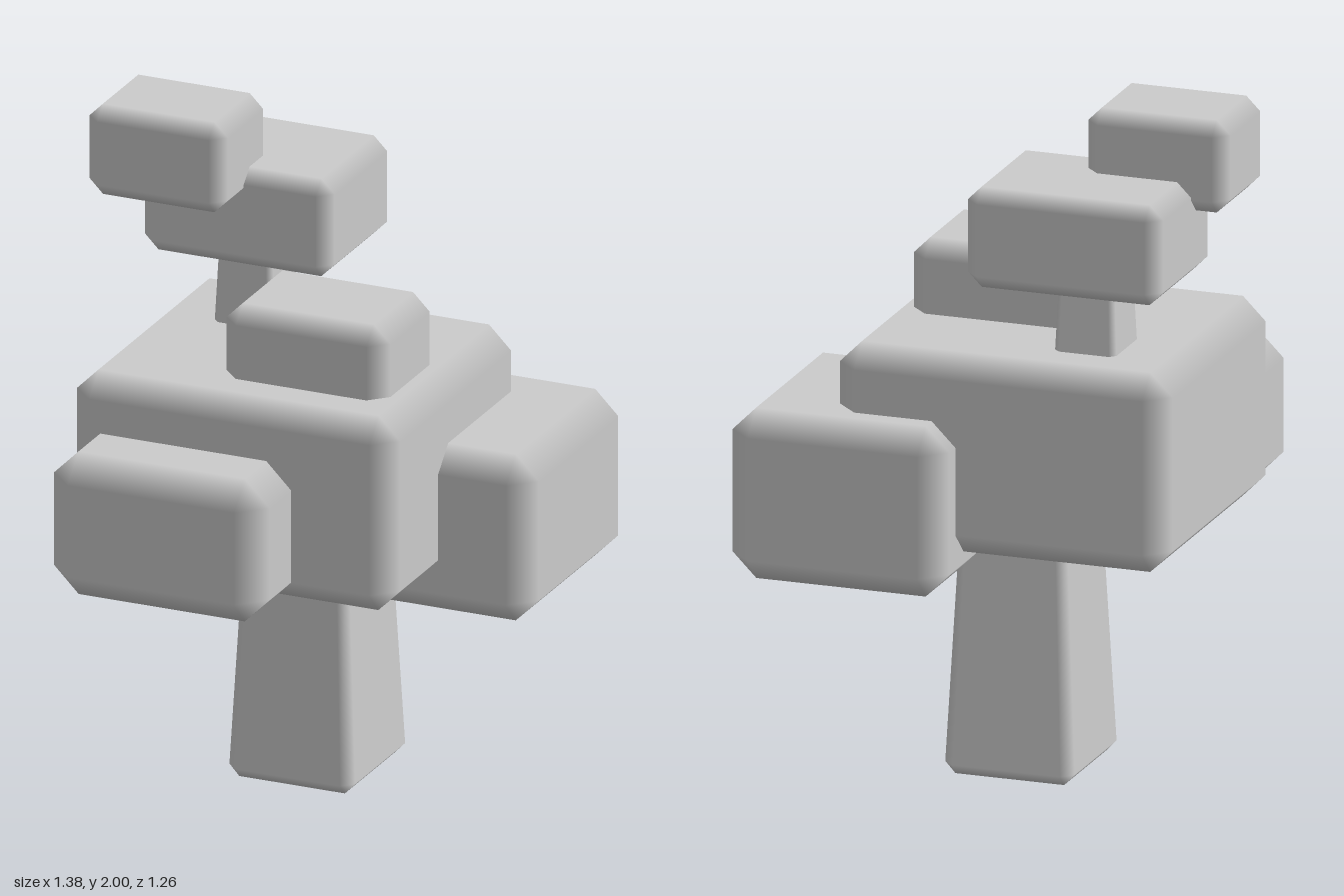
import * as THREE from 'three';

// Box with a single chamfer on every edge, smooth shading across the chamfers
// and an optional taper: the top is scaled by `topX` and `topZ`.
function chamferBox([x0, x1], [y0, y1], [z0, z1], bevel, topX = 1, topZ = 1) {
  const half = [(x1 - x0) / 2, (y1 - y0) / 2, (z1 - z0) / 2];
  const points = [], normals = [], index = [];
  const slope = [half[0] * (1 - topX) / (2 * half[1]), 0, half[2] * (1 - topZ) / (2 * half[1])];

  // Three points per corner, each lying on one of the three flat faces
  for (let axis = 0; axis < 3; axis++) {
    for (let corner = 0; corner < 8; corner++) {
      const sign = [0, 1, 2].map(k => (corner >> k & 1) ? 1 : -1);
      const p = sign.map((s, k) => s * (half[k] - (k === axis ? 0 : bevel)));
      const t = (p[1] + half[1]) / (2 * half[1]);
      p[0] *= 1 + (topX - 1) * t;
      p[2] *= 1 + (topZ - 1) * t;
      points.push(new THREE.Vector3(...p));
      const n = new THREE.Vector3().setComponent(axis, sign[axis]);
      n.y += slope[axis];
      normals.push(n.normalize());
    }
  }

  // Adds a triangle, turned so that it faces outward
  const triangle = (a, b, c) => {
    const [p, q, r] = [points[a], points[b], points[c]];
    const n = q.clone().sub(p).cross(r.clone().sub(p));
    const outward = p.clone().add(q).add(r);
    index.push(...(n.dot(outward) > 0 ? [a, b, c] : [a, c, b]));
  };
  const quad = (a, b, c, d) => { triangle(a, b, c); triangle(a, c, d); };

  for (let a = 0; a < 3; a++) {
    const b = (a + 1) % 3, c = (a + 2) % 3;
    const A = 1 << a, B = 1 << b, C = 1 << c;
    for (const s of [0, A]) {
      // Flat face
      quad(a * 8 + s, a * 8 + s + B, a * 8 + s + B + C, a * 8 + s + C);
      // Chamfers between this face and the next axis' faces
      for (const t of [0, B]) {
        quad(a * 8 + s + t, a * 8 + s + t + C, b * 8 + s + t + C, b * 8 + s + t);
      }
    }
  }
  // Corner triangles
  for (let corner = 0; corner < 8; corner++) triangle(corner, 8 + corner, 16 + corner);

  const geometry = new THREE.BufferGeometry();
  geometry.setFromPoints(points);
  geometry.setAttribute('normal', new THREE.Float32BufferAttribute(normals.flatMap(n => n.toArray()), 3));
  geometry.setIndex(index);
  geometry.translate((x0 + x1) / 2, (y0 + y1) / 2, (z0 + z1) / 2);
  return geometry;
}

export function createModel() {
  const tree = new THREE.Group();
  tree.name = 'blockTree';
  const material = new THREE.MeshStandardMaterial({ color: 0xcccccc });
  const add = (name, ...shape) => {
    const mesh = new THREE.Mesh(chamferBox(...shape), material);
    mesh.name = name;
    tree.add(mesh);
  };

  // Tapered wood: name, x range, y range, z range, bevel, top scale
  add('trunk', [-0.263, 0.133], [0, 0.9], [-0.348, 0.07], 0.033, 0.78, 0.78);
  add('upperBranch', [-0.398, -0.203], [1.2, 1.6], [-0.35, -0.135], 0.018, 0.83, 0.8);

  // Foliage blocks
  add('mainFoliage', [-0.605, 0.405], [0.708, 1.305], [-0.508, 0.4], 0.068);
  add('frontFoliage', [-0.58, 0.095], [0.7, 1.138], [0.215, 0.628], 0.078);
  add('leftFoliage', [0.03, 0.688], [0.6, 1.11], [-0.63, 0.068], 0.072);
  add('topFoliage', [-0.202, 0.31], [1.16, 1.52], [-0.138, 0.24], 0.052);
  add('crownFoliage', [-0.587, 0.006], [1.515, 1.815], [-0.51, -0.06], 0.042);
  add('crownTipFoliage', [-0.692, -0.26], [1.723, 2.0], [-0.238, 0.092], 0.042);

  return tree;
}
